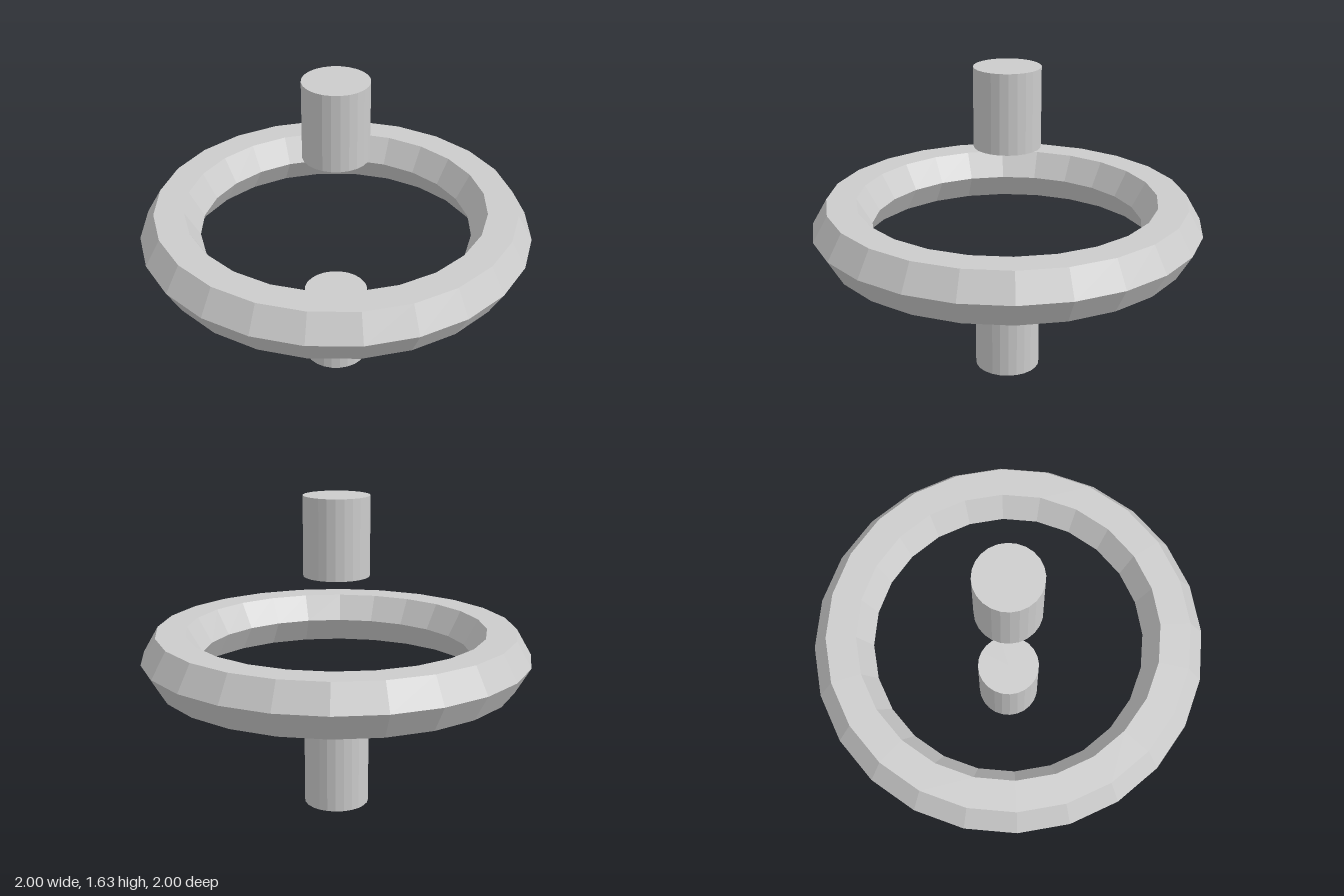
import * as THREE from 'three';

export function createModel() {
  const group = new THREE.Group();
  const grey = new THREE.MeshStandardMaterial({ color: 0xcccccc, flatShading: true });
  grey.name = 'light grey';

  const add = (name, geometry, y) => {
    const mesh = new THREE.Mesh(geometry, grey);
    mesh.name = name;
    mesh.position.y = y;
    group.add(mesh);
  };

  // Hexagonal-section ring lying flat, halfway up
  const ringRadius = 0.847, tubeRadius = 0.153, midHeight = 0.815;
  add('ring', new THREE.TorusGeometry(ringRadius, tubeRadius, 6, 24).rotateX(Math.PI / 2), midHeight);

  // Two equal pins on the ring's axis, one below and one above
  const pinHeight = 0.406, pinOffset = midHeight - pinHeight / 2;
  const pin = new THREE.CylinderGeometry(0.169, 0.169, pinHeight, 24);
  add('lowerPin', pin, midHeight - pinOffset);
  add('upperPin', pin, midHeight + pinOffset);

  return group;
}
